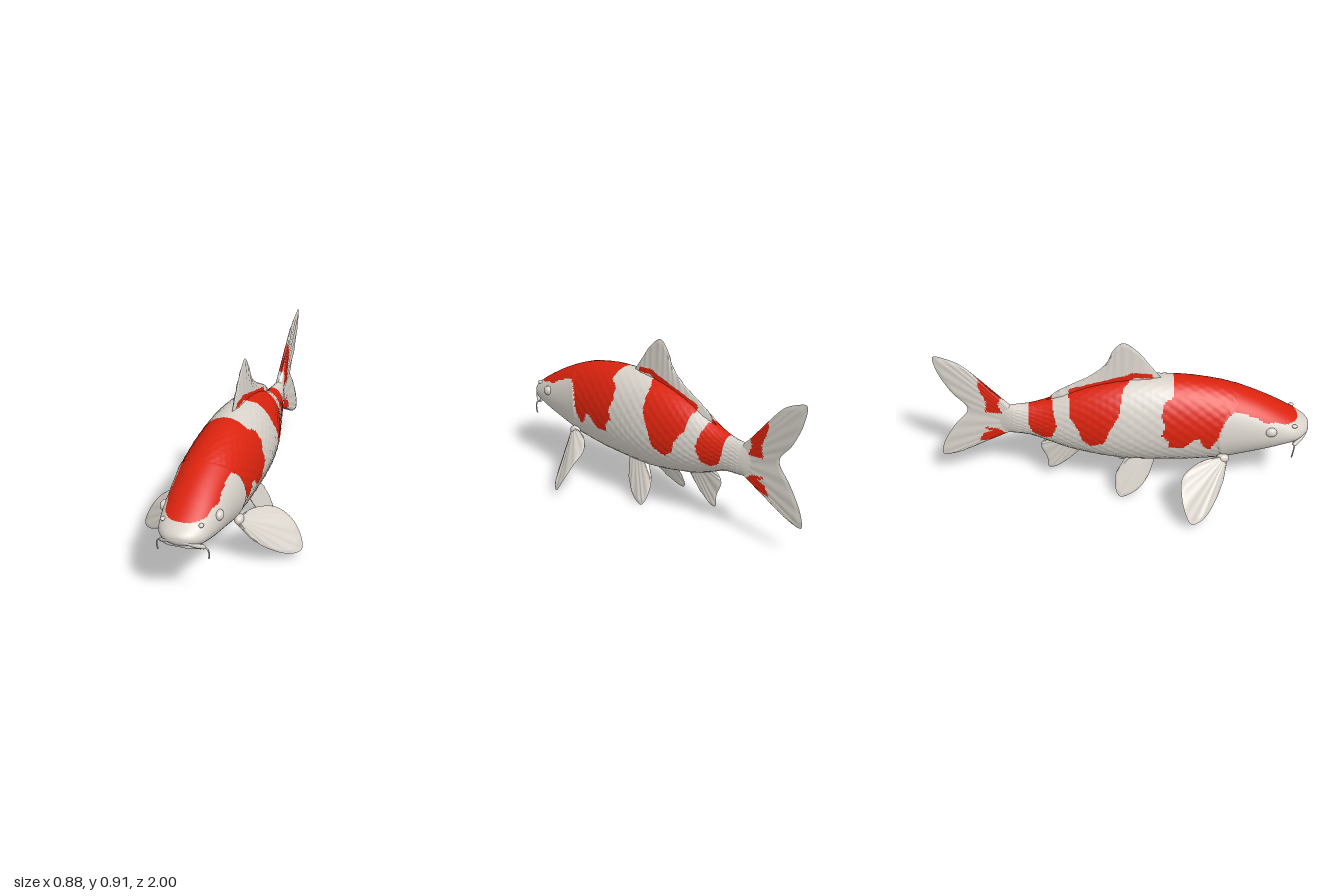
import * as THREE from 'three';

const white = new THREE.MeshStandardMaterial({ color: 0xd8d2ca, side: THREE.DoubleSide });
white.name = 'pearl white';
const red = new THREE.MeshStandardMaterial({ color: 0xdb230e, side: THREE.DoubleSide });
red.name = 'scarlet';

// Scarlet patches, as outlines in side elevation [z, y]
const patches = [
  // head cap and shoulder saddle
  [[0.945, 0.462], [0.87, 0.468], [0.8, 0.49], [0.75, 0.495], [0.7, 0.53], [0.64, 0.55], [0.58, 0.57], [0.53, 0.52],
    [0.5, 0.42], [0.46, 0.35], [0.43, 0.37], [0.41, 0.42], [0.38, 0.42], [0.32, 0.36], [0.25, 0.36], [0.24, 0.41],
    [0.2, 0.45], [0.225, 0.5], [0.2, 0.56], [0.215, 0.62], [0.26, 0.645], [0.27, 0.9], [0.945, 0.9]],
  // middle saddle and dorsal fin base
  [[0.16, 0.7], [0.15, 0.725], [0.05, 0.735], [0, 0.715], [-0.15, 0.67], [-0.29, 0.625], [-0.285, 0.51],
    [-0.235, 0.44], [-0.22, 0.375], [-0.17, 0.34], [-0.1, 0.375], [-0.07, 0.47], [-0.02, 0.56], [0, 0.67], [0.06, 0.705]],
  // rear saddle
  [[-0.39, 0.6], [-0.375, 0.53], [-0.355, 0.44], [-0.385, 0.36], [-0.435, 0.345], [-0.49, 0.375], [-0.51, 0.44], [-0.5, 0.6]],
  // upper and lower tail streaks
  [[-0.765, 0.69], [-0.772, 0.63], [-0.735, 0.54], [-0.745, 0.47], [-0.65, 0.465], [-0.675, 0.52], [-0.655, 0.56], [-0.72, 0.64]],
  [[-0.62, 0.315], [-0.67, 0.36], [-0.77, 0.375], [-0.71, 0.345], [-0.765, 0.325], [-0.785, 0.275], [-0.71, 0.29]],
];

function inside(poly, z, y) {
  let hit = false;
  for (let i = 0, j = poly.length - 1; i < poly.length; j = i++) {
    const [zi, yi] = poly[i], [zj, yj] = poly[j];
    if ((yi > y) !== (yj > y) && z < ((zj - zi) * (y - yi)) / (yj - yi) + zi) hit = !hit;
  }
  return hit;
}

// Smooth grid surface whose cells are sorted into white and scarlet groups
function patchedMesh(name, rows, cols, pointAt, flip = false) {
  const pos = [], groups = [[], []];
  for (let i = 0; i <= rows; i++)
    for (let j = 0; j <= cols; j++) pos.push(...pointAt(i / rows, j / cols));
  const w = cols + 1;
  for (let i = 0; i < rows; i++)
    for (let j = 0; j < cols; j++) {
      const a = i * w + j, b = a + 1, c = a + w, d = c + 1;
      const mid = (k) => (pos[3 * a + k] + pos[3 * b + k] + pos[3 * c + k] + pos[3 * d + k]) / 4;
      const g = groups[patches.some((p) => inside(p, mid(2), mid(1))) ? 1 : 0];
      if (flip) g.push(a, b, c, b, d, c);
      else g.push(a, c, b, b, c, d);
    }
  const geo = new THREE.BufferGeometry();
  geo.setAttribute('position', new THREE.Float32BufferAttribute(pos, 3));
  geo.setIndex([...groups[0], ...groups[1]]);
  geo.addGroup(0, groups[0].length, 0);
  geo.addGroup(groups[0].length, groups[1].length, 1);
  geo.computeVertexNormals();
  const mesh = new THREE.Mesh(geo, [white, red]);
  mesh.name = name;
  return mesh;
}

const vec = (p, s = 1) => new THREE.Vector3(p[0] * s, p[1], p[2]);
const curve = (pts, s) => new THREE.CatmullRomCurve3(pts.map((p) => vec(p, s)));

// Body stations: z, top, bottom, half width
const stations = [
  [1.0, 0.402, 0.398, 0.002], [0.995, 0.42, 0.378, 0.04], [0.975, 0.438, 0.358, 0.078], [0.94, 0.46, 0.335, 0.11],
  [0.9, 0.487, 0.315, 0.127], [0.8, 0.545, 0.28, 0.148], [0.7, 0.595, 0.25, 0.16], [0.6, 0.635, 0.225, 0.17],
  [0.5, 0.664, 0.205, 0.177], [0.35, 0.69, 0.191, 0.182], [0.2, 0.697, 0.188, 0.183], [0.1, 0.696, 0.188, 0.181],
  [0, 0.687, 0.192, 0.175], [-0.1, 0.667, 0.205, 0.162], [-0.2, 0.638, 0.224, 0.14], [-0.3, 0.597, 0.247, 0.114],
  [-0.4, 0.55, 0.285, 0.087], [-0.5, 0.52, 0.322, 0.062], [-0.6, 0.51, 0.33, 0.04], [-0.66, 0.51, 0.332, 0.02],
  [-0.7, 0.47, 0.38, 0.004],
];

function makeBody() {
  const heights = new THREE.CatmullRomCurve3(stations.map((s) => new THREE.Vector3(s[0], s[1], s[2])), false, 'catmullrom');
  const widths = new THREE.CatmullRomCurve3(stations.map((s) => new THREE.Vector3(s[0], s[3], 0)), false, 'catmullrom');
  return patchedMesh('body', 260, 120, (t, v) => {
    const { x: z, y: top, z: bottom } = heights.getPoint(t);
    const angle = v * Math.PI * 2 - Math.PI / 2, c = Math.cos(angle), s = Math.sin(angle);
    const yc = bottom + 0.47 * (top - bottom);
    const y = yc + s * (s > 0 ? top - yc : yc - bottom);
    // raised gill cover edge
    const gill = z - (0.505 + 2.2 * (y - 0.4) ** 2);
    let bump = gill > 0 ? 0.009 * Math.exp(-gill / 0.06) * Math.abs(c) : 0;
    // staggered scales
    if (gill < -0.01 && z > -0.6 && y > 0.24) {
      const a = (z * Math.PI) / 0.075, b = angle * 14;
      bump += 0.0035 * Math.abs(Math.cos(a + b) * Math.cos(a - b));
    }
    return [c * (widths.getPoint(t).y + bump), y + s * bump * 0.4, z];
  });
}

// Fin: rays fan from a root line to an outer edge, thinning outward
function makeFin(name, rootPts, edgePts, thick, rays, s = 1) {
  const root = curve(rootPts, s), edge = curve(edgePts, s);
  const span = edge.getPoint(0.5).sub(root.getPoint(0.5));
  const normal = span.cross(edge.getPoint(0.8).sub(edge.getPoint(0.2))).normalize();
  const group = new THREE.Group();
  group.name = name;
  for (const side of [1, -1])
    group.add(patchedMesh(name + 'Face', 36, 72, (u, v) => {
      const rim = Math.min(1, 9 * Math.min(v, 1 - v)) * Math.min(1, 12 * (1 - u));
      const ripple = 0.002 * Math.sin(v * rays * Math.PI * 2) * Math.sqrt(u);
      const p = root.getPoint(v).lerp(edge.getPoint(v), u);
      return p.addScaledVector(normal, side * rim * (thick * (1 - u) + 0.004 + ripple)).toArray();
    }, side < 0));
  return group;
}

const flat = (pts) => pts.map(([z, y]) => [0, y, z]);

function makeTube(name, pts, radius, s = 1) {
  const mesh = new THREE.Mesh(new THREE.TubeGeometry(curve(pts, s), 32, radius, 8), white);
  mesh.name = name;
  return mesh;
}

function makeBlob(name, p, scale, s) {
  const mesh = new THREE.Mesh(new THREE.SphereGeometry(1, 20, 14), white);
  mesh.name = name;
  mesh.position.copy(vec(p, s));
  mesh.scale.set(...scale);
  return mesh;
}

export function createModel() {
  const model = new THREE.Group();
  model.name = 'fish';
  model.add(makeBody());

  // Fins on the centre line
  model.add(makeFin('dorsalFin', flat([[0.2, 0.685], [0.05, 0.68], [-0.1, 0.655], [-0.25, 0.61], [-0.4, 0.54]]),
    flat([[0.2, 0.695], [0.14, 0.775], [0.08, 0.855], [0, 0.912], [-0.05, 0.87], [-0.09, 0.785], [-0.17, 0.71],
      [-0.285, 0.645], [-0.36, 0.6], [-0.41, 0.55]]), 0.016, 13));
  model.add(makeFin('tailFin', flat([[-0.6, 0.505], [-0.62, 0.46], [-0.62, 0.38], [-0.6, 0.335]]),
    flat([[-0.69, 0.58], [-0.76, 0.67], [-0.85, 0.765], [-0.93, 0.807], [-0.995, 0.82], [-0.98, 0.72], [-0.915, 0.59],
      [-0.838, 0.485], [-0.915, 0.375], [-0.985, 0.25], [-0.995, 0.172], [-0.94, 0.175], [-0.875, 0.2], [-0.755, 0.27],
      [-0.68, 0.308]]), 0.016, 15));
  model.add(makeFin('analFin', flat([[-0.22, 0.24], [-0.3, 0.27], [-0.4, 0.3]]),
    flat([[-0.23, 0.215], [-0.31, 0.135], [-0.38, 0.085], [-0.415, 0.085], [-0.422, 0.15], [-0.455, 0.235],
      [-0.445, 0.262], [-0.4, 0.29]]), 0.012, 8));

  // Upper and lower lips
  model.add(makeTube('upperLip', [[-0.112, 0.335, 0.915], [-0.085, 0.362, 0.955], [-0.045, 0.387, 0.982], [0, 0.395, 0.99],
    [0.045, 0.387, 0.982], [0.085, 0.362, 0.955], [0.112, 0.335, 0.915]], 0.011));
  model.add(makeTube('lowerLip', [[-0.095, 0.335, 0.92], [-0.05, 0.353, 0.96], [0, 0.36, 0.97],
    [0.05, 0.353, 0.96], [0.095, 0.335, 0.92]], 0.011));

  // Paired parts
  for (const [side, s] of [['left', 1], ['right', -1]]) {
    model.add(makeFin(side + 'PectoralFin', [[0.15, 0.265, 0.56], [0.155, 0.275, 0.54], [0.16, 0.29, 0.51]],
      [[0.17, 0.245, 0.55], [0.22, 0.18, 0.54], [0.3, 0.108, 0.5], [0.4, 0.056, 0.43], [0.44, 0.055, 0.365],
        [0.42, 0.12, 0.33], [0.36, 0.2, 0.31], [0.28, 0.252, 0.32], [0.2, 0.285, 0.41], [0.17, 0.295, 0.49]], 0.012, 9, s));
    model.add(makeFin(side + 'PelvicFin', [[0.07, 0.21, 0.17], [0.07, 0.215, 0.1], [0.07, 0.22, 0.02]],
      [[0.08, 0.185, 0.165], [0.115, 0.1, 0.13], [0.145, 0.04, 0.075], [0.163, 0.005, -0.01], [0.155, 0.03, -0.035],
        [0.11, 0.125, -0.04], [0.08, 0.195, 0.0]], 0.014, 7, s));
    model.add(makeBlob(side + 'PectoralBase', [0.155, 0.278, 0.535], [0.025, 0.027, 0.035], s));
    model.add(makeBlob(side + 'Eye', [0.142, 0.445, 0.785], [0.022, 0.027, 0.031], s));
    model.add(makeBlob(side + 'Nostril', [0.098, 0.452, 0.913], [0.012, 0.01, 0.015], s));
    model.add(makeTube(side + 'Barbel', [[0.108, 0.34, 0.92], [0.128, 0.328, 0.917], [0.135, 0.3, 0.912], [0.132, 0.27, 0.908]], 0.004, s));
  }
  return model;
}
